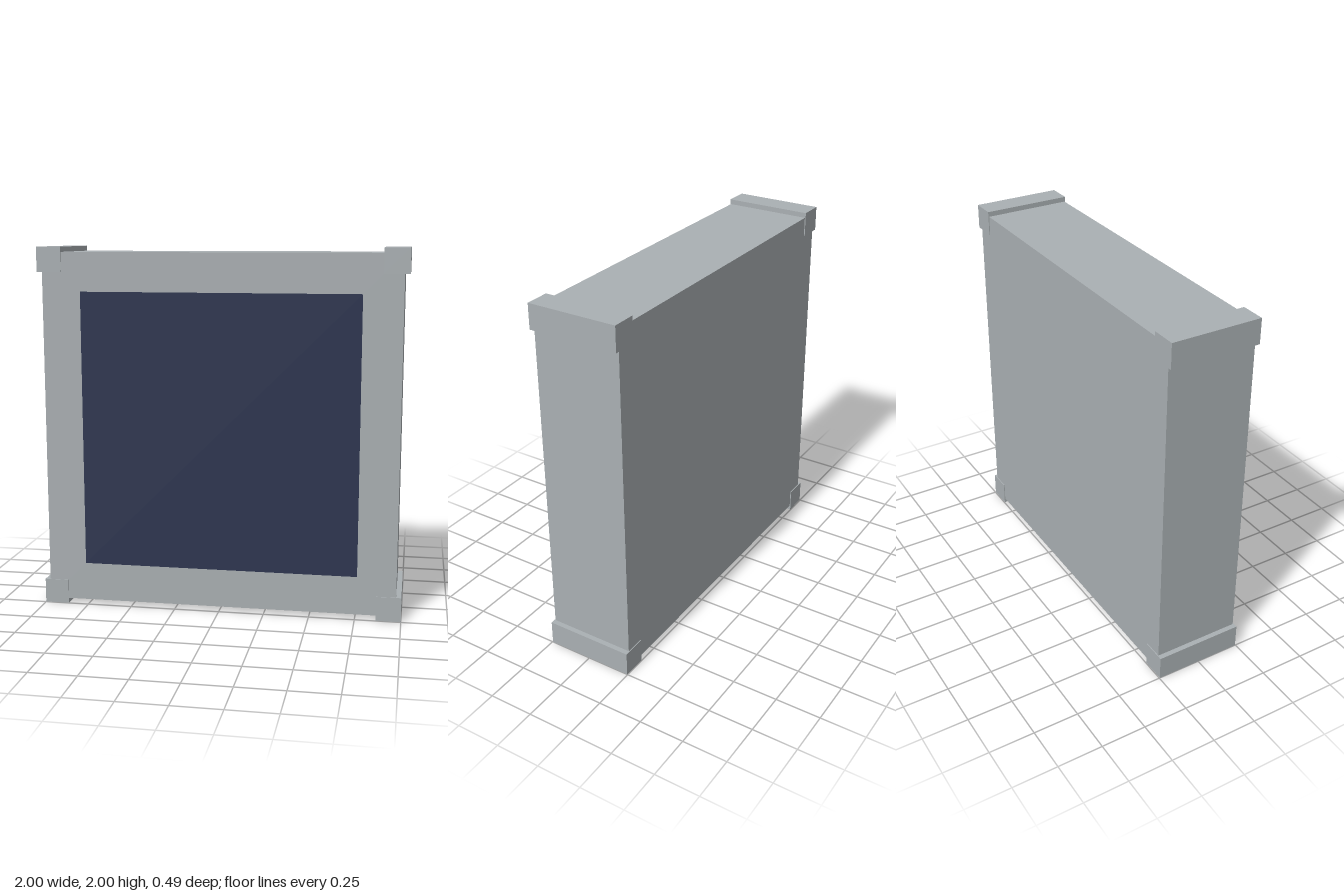
import * as THREE from 'three';

export function createModel() {
  const model = new THREE.Group();
  model.name = 'framedPanel';
  const grey = new THREE.MeshStandardMaterial({ color: 0xaab0b3 });
  grey.name = 'casing grey';
  const navy = new THREE.MeshStandardMaterial({ color: 0x2d3550 });
  navy.name = 'panel navy';

  function box(name, material, size, position) {
    const mesh = new THREE.Mesh(new THREE.BoxGeometry(...size), material);
    mesh.name = name;
    mesh.position.set(...position);
    model.add(mesh);
  }

  // Main casing
  box('casing', grey, [1.944, 1.944, 0.484], [0, 1, 0]);

  // Dark panel on the front only
  box('frontPanel', navy, [1.52, 1.52, 0.004], [0, 1, 0.242]);

  // Protective blocks running the full depth of each corner
  const block = 0.135;
  for (const [side, sx] of [['Left', 1], ['Right', -1]]) {
    for (const [level, sy] of [['top', 1], ['bottom', -1]]) {
      box(`${level}${side}Corner`, grey, [block, block, 0.494],
        [sx * (1 - block / 2), 1 + sy * (1 - block / 2), 0]);
    }
  }
  return model;
}
